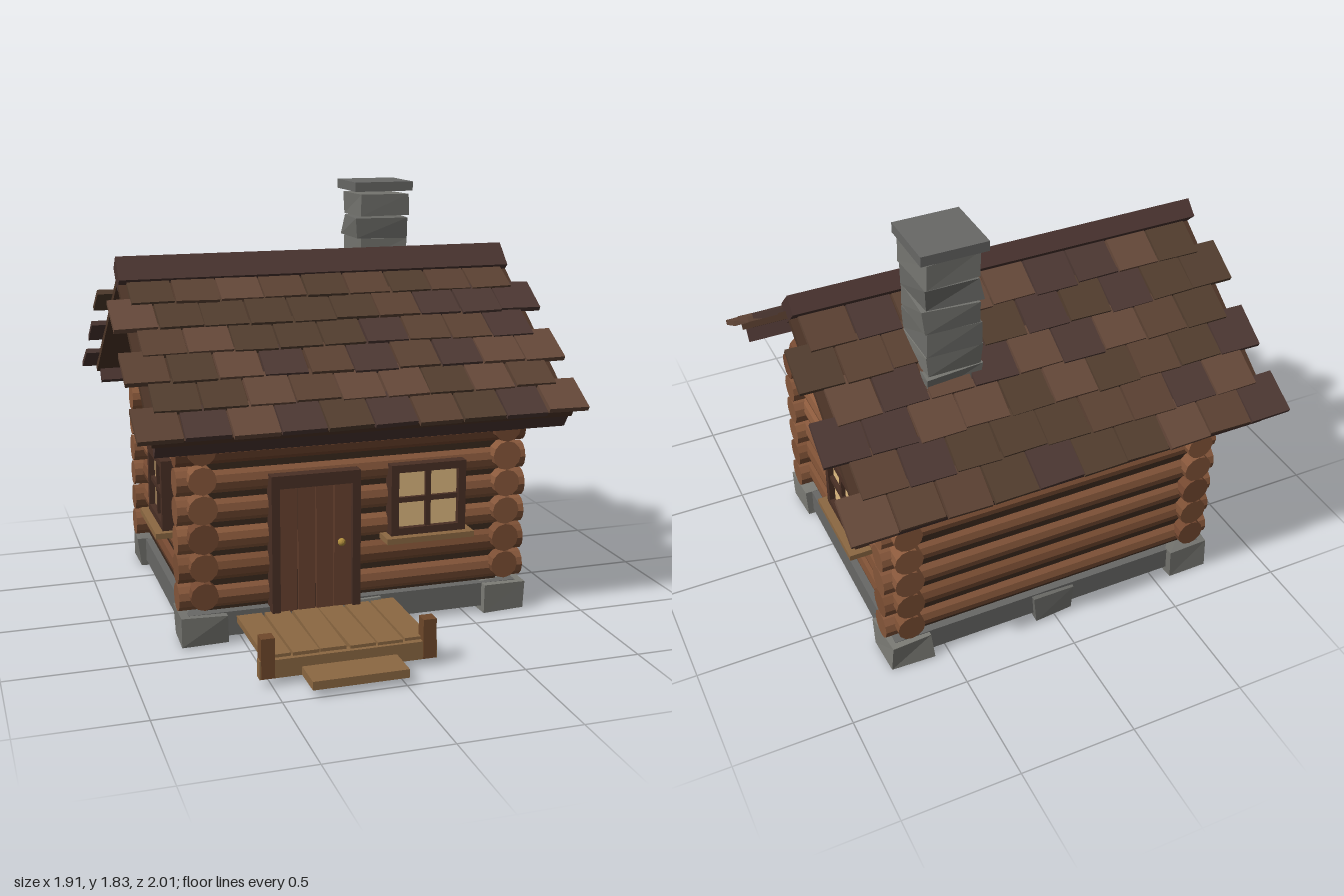
import * as THREE from 'three';

const CZ = -0.205; // centre line of the house in z
const C = {
  logs: [0x8b5a3c, 0x7c4f34, 0x744830, 0x85563a], chink: 0x3a281d, gable: 0x6b4530,
  shingles: [0x5c4233, 0x4d3833, 0x533e2f, 0x66493a], roof: 0x4d3527, ridge: 0x4a3430,
  frame: 0x4a3025, door: 0x6a4230, glass: 0xe2bd82, deck: 0x8c6842, deckDark: 0x70492b,
  stones: [0x74746f, 0x6a6a66, 0x7d7d77], slab: 0x686866, floor: 0x333333, brass: 0xb08d3c,
};

let seed = 7;
const rnd = () => (seed = (seed * 16807) % 2147483647) / 2147483647;
const jit = (a) => (rnd() * 2 - 1) * a;
const pick = (list) => list[Math.floor(rnd() * list.length)];

const mats = {};
const mat = (color) => (mats[color] ??= new THREE.MeshStandardMaterial({ color, flatShading: true }));

function add(parent, name, geo, color, x = 0, y = 0, z = 0) {
  const m = new THREE.Mesh(geo, mat(color));
  m.name = name;
  m.position.set(x, y, z);
  parent.add(m);
  return m;
}
const box = (parent, name, color, w, h, d, x, y, z) =>
  add(parent, name, new THREE.BoxGeometry(w, h, d), color, x, y, z);

function group(parent, name, x = 0, y = 0, z = 0) {
  const g = new THREE.Group();
  g.name = name;
  g.position.set(x, y, z);
  parent.add(g);
  return g;
}

// Box whose eight corners are nudged, for rough stone
function roughBox(w, h, d, amount) {
  const geo = new THREE.BoxGeometry(w, h, d);
  const offsets = Array.from({ length: 8 }, () => [jit(amount), jit(amount * 0.5), jit(amount)]);
  const p = geo.attributes.position;
  for (let i = 0; i < p.count; i++) {
    const o = offsets[(p.getX(i) > 0 ? 1 : 0) + (p.getY(i) > 0 ? 2 : 0) + (p.getZ(i) > 0 ? 4 : 0)];
    p.setXYZ(i, p.getX(i) + o[0], p.getY(i) + o[1], p.getZ(i) + o[2]);
  }
  geo.computeVertexNormals();
  return geo;
}

function buildFoundation(root) {
  const g = group(root, 'foundation', 0, 0, CZ);
  box(g, 'foundationSlab', C.slab, 1.46, 0.105, 1.18, 0, 0.083, 0);
  box(g, 'floorUnderside', C.floor, 1.4, 0.01, 1.12, 0, 0.027, 0);
  for (const sz of [1, -1]) {
    for (const sx of [1, -1])
      add(g, 'cornerStone', roughBox(0.19, 0.13, 0.18, 0.01), pick(C.stones), sx * 0.665, 0.07, sz * 0.525);
    add(g, 'middleStone', roughBox(0.19, 0.12, 0.13, 0.012), pick(C.stones), 0, 0.066, sz * 0.545);
  }
}

function buildWalls(root) {
  const g = group(root, 'logWalls', 0, 0, CZ);
  for (const s of [1, -1]) {
    box(g, 'wallFiller', C.chink, 1.3, 0.74, 0.07, 0, 0.51, s * 0.525);
    box(g, 'wallFiller', C.chink, 0.07, 0.74, 1.02, s * 0.665, 0.51, 0);
    for (let i = 0; i < 6; i++) {
      const r = () => 0.061 + jit(0.003);
      const a = add(g, 'longLog', new THREE.CylinderGeometry(r(), r(), 1.53, 12), pick(C.logs), 0, 0.2 + i * 0.123, s * 0.525);
      a.rotation.z = Math.PI / 2;
      const b = add(g, 'sideLog', new THREE.CylinderGeometry(r(), r(), 1.235, 12), pick(C.logs), s * 0.665, 0.22 + i * 0.123, 0);
      b.rotation.x = Math.PI / 2;
    }
  }
  // Gable ends
  const shape = new THREE.Shape([[-0.525, 0.89], [0.525, 0.89], [0.525, 1.02], [0, 1.41], [-0.525, 1.02]]
    .map(([x, y]) => new THREE.Vector2(x, y)));
  const geo = new THREE.ExtrudeGeometry(shape, { depth: 0.06, bevelEnabled: false });
  geo.translate(0, 0, -0.03);
  for (const s of [1, -1])
    add(g, 'gable', geo, C.gable, s * 0.665, 0, 0).rotation.y = Math.PI / 2;
}

// Rectangular frame with an opening, facing +z
function frameGeo(w, h, t, depth) {
  const rect = (Type, a, b) => new Type([[-a, -b], [a, -b], [a, b], [-a, b]].map(([x, y]) => new THREE.Vector2(x, y)));
  const s = rect(THREE.Shape, w / 2, h / 2);
  s.holes.push(rect(THREE.Path, w / 2 - t, h / 2 - t));
  return new THREE.ExtrudeGeometry(s, { depth, bevelEnabled: false });
}

function addWindow(root, name, x, y, z, turn, w = 0.335, h = 0.31) {
  const g = group(root, name, x, y, z);
  g.rotation.y = turn;
  add(g, 'windowFrame', frameGeo(w, h, w * 0.1, 0.09), C.frame, 0, 0, -0.06);
  box(g, 'windowGlass', C.glass, w * 0.85, h * 0.85, 0.04, 0, 0, -0.015);
  box(g, 'mullion', C.frame, w * 0.07, h * 0.85, 0.02, 0, 0, 0.012);
  box(g, 'mullion', C.frame, w * 0.85, h * 0.07, 0.02, 0, 0, 0.012);
  box(g, 'windowSill', C.deck, w * 1.17, 0.025, 0.1, 0, -h / 2 - 0.01, 0.015);
}

function buildDoor(root) {
  const g = group(root, 'door', -0.193, 0, 0.39);
  for (const s of [1, -1]) box(g, 'doorJamb', C.frame, 0.035, 0.59, 0.08, s * 0.174, 0.415, 0);
  box(g, 'doorLintel', C.frame, 0.383, 0.055, 0.08, 0, 0.684, 0);
  box(g, 'doorBacking', C.chink, 0.32, 0.55, 0.04, 0, 0.39, -0.005);
  for (let i = 0; i < 4; i++)
    box(g, 'doorPlank', C.door, 0.074, 0.54, 0.03, (i - 1.5) * 0.078, 0.388, 0.01);
  add(g, 'doorKnob', new THREE.SphereGeometry(0.017, 10, 8), C.brass, 0.108, 0.405, 0.04);
}

function buildPorch(root) {
  const g = group(root, 'porch', -0.185, 0, 0);
  for (let i = 0; i < 6; i++)
    box(g, 'deckPlank', C.deck, 0.106, 0.028, 0.43, (i - 2.5) * 0.116, 0.108 + jit(0.003), 0.615 + jit(0.006)).rotation.y = jit(0.015);
  for (const s of [1, -1]) {
    box(g, 'deckJoist', C.deckDark, 0.04, 0.035, 0.42, s * 0.28, 0.083, 0.61);
    box(g, 'porchPost', C.deckDark, 0.055, 0.165, 0.055, s * 0.332, 0.118, 0.83);
  }
  box(g, 'frontBeam', C.deck, 0.73, 0.075, 0.04, 0, 0.07, 0.832);
  box(g, 'porchStep', C.deck, 0.39, 0.035, 0.2, 0, 0.05, 0.9);
}

function buildRoof(root) {
  const roof = group(root, 'roof', 0, 1.43, CZ);
  for (const turn of [0, Math.PI]) {
    const side = group(roof, 'roofSide');
    side.rotation.y = turn;
    // Local +z runs down the slope
    const slope = group(side, 'roofSlope');
    slope.rotation.x = 0.61;
    box(slope, 'roofBoard', C.roof, 1.78, 0.03, 0.92, 0, 0.015, 0.46);
    box(slope, 'eaveBoard', C.ridge, 1.75, 0.06, 0.03, 0, -0.03, 0.905);
    for (let row = 0; row < 6; row++) {
      const n = row % 2 ? 9 : 10;
      for (let i = 0; i < n; i++) {
        const t = box(slope, 'shingle', pick(C.shingles), 0.184 + jit(0.005), 0.022, 0.185 + jit(0.006),
          (i - (n - 1) / 2) * 0.1915, 0.042 + jit(0.002), 0.843 - row * 0.152 + jit(0.005));
        t.rotation.set(-0.07 + jit(0.015), jit(0.02), jit(0.015));
      }
    }
  }
  box(roof, 'ridgeBeam', C.ridge, 1.78, 0.08, 0.128, 0, 0.045, -0.005).rotation.x = Math.PI / 4;
}

function buildChimney(root) {
  const g = group(root, 'chimney', 0.36, 0, -0.472);
  for (let i = 0; i < 8; i++)
    add(g, 'chimneyStone', roughBox(0.23, 0.096, 0.235, 0.01), pick(C.stones), jit(0.005), 1.02 + i * 0.1, jit(0.005)).rotation.y = jit(0.05);
  box(g, 'chimneyCap', C.slab, 0.275, 0.042, 0.275, 0, 1.808, 0);
}

export function createModel() {
  seed = 7;
  const root = new THREE.Group();
  root.name = 'logCabin';
  buildFoundation(root);
  buildWalls(root);
  buildDoor(root);
  addWindow(root, 'frontWindow', 0.303, 0.558, 0.395, 0);
  addWindow(root, 'leftWindow', 0.742, 0.558, CZ - 0.11, Math.PI / 2);
  addWindow(root, 'rightWindow', -0.742, 0.558, CZ + 0.11, -Math.PI / 2);
  addWindow(root, 'atticWindow', -0.7, 1.1, CZ, -Math.PI / 2, 0.18, 0.18);
  buildPorch(root);
  buildRoof(root);
  buildChimney(root);
  return root;
}
